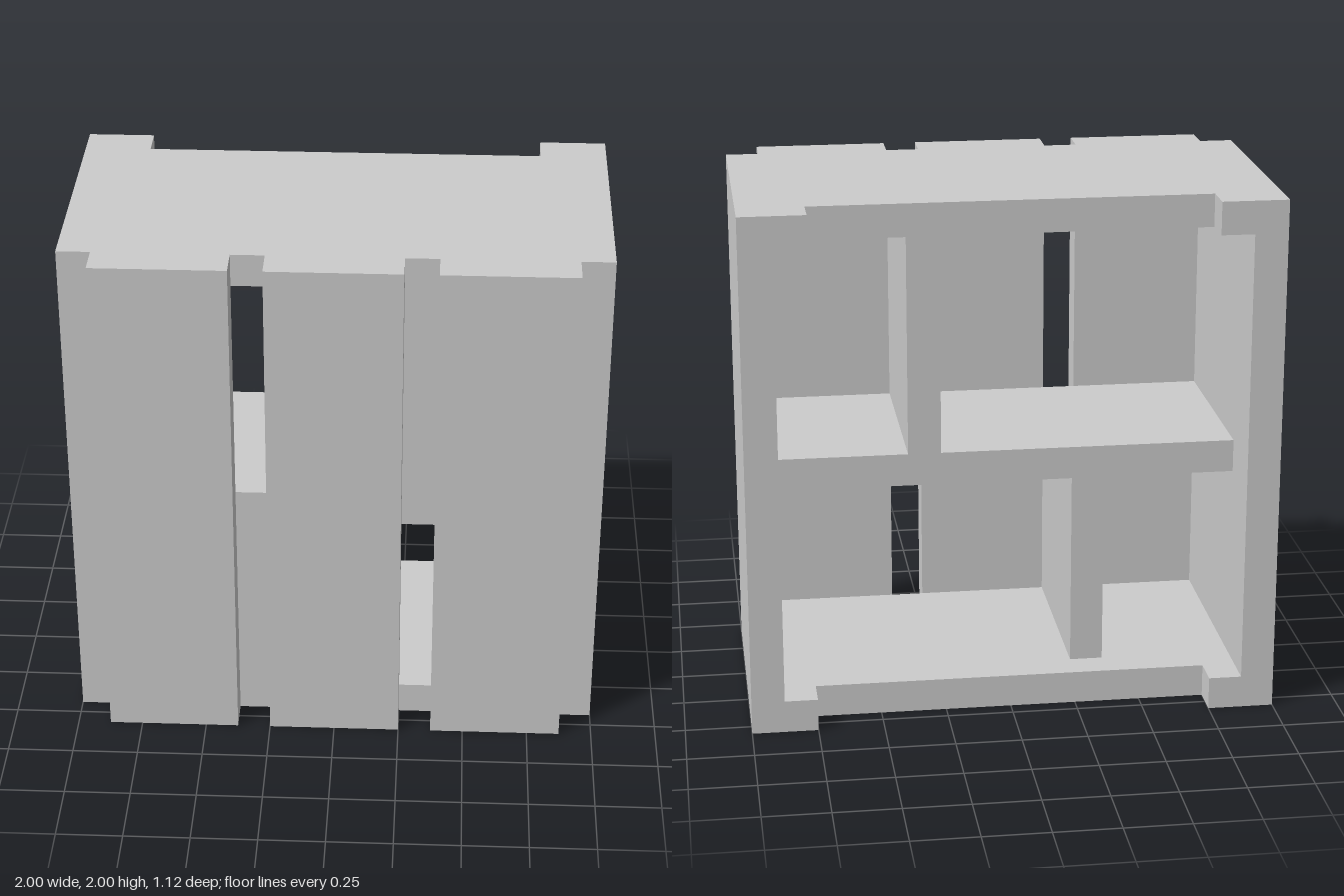
import * as THREE from 'three';

// Board thickness, overall half width, height, and the z of the main faces
const T = 0.125, W = 1, H = 2;
const FRONT = 0.5625, BODY = 0.4375, BACK = -0.5625, INSET = -0.3125;

export function createModel() {
  const group = new THREE.Group();
  const material = new THREE.MeshStandardMaterial({ color: 0xcccccc, flatShading: true });

  // Board given by its extents along each axis
  function board(name, [x0, x1], [y0, y1], [z0, z1]) {
    const mesh = new THREE.Mesh(new THREE.BoxGeometry(x1 - x0, y1 - y0, z1 - z0), material);
    mesh.position.set((x0 + x1) / 2, (y0 + y1) / 2, (z0 + z1) / 2);
    mesh.name = name;
    group.add(mesh);
  }

  // Top and bottom plates, with small tabs in the back corners
  for (const [name, y] of [['bottom', 0], ['top', H - T]]) {
    board(name + 'Plate', [-W + T, W - T], [y, y + T], [-BODY, BODY]);
    board(name + 'RightTab', [-W + T, -W + 2 * T], [y, y + T], [BACK, -BODY]);
    board(name + 'LeftTab', [W - 2 * T, W - T], [y, y + T], [BACK, -BODY]);
  }

  // Side walls
  board('rightWall', [-W, -W + T], [0, H], [BACK, BODY]);
  board('leftWall', [W - T, W], [0, H], [BACK, BODY]);

  // Three front panels separated by slots
  for (const [name, x] of [['right', -0.625], ['middle', 0], ['left', 0.625]]) {
    board(name + 'FrontPanel', [x - 0.25, x + 0.25], [0, H], [BODY, FRONT]);
  }

  // Shelf with staggered dividers, each closing half of one slot
  board('shelf', [-W + T, W - T], [1 - T, 1], [INSET, BODY]);
  board('upperDivider', [0.25, 0.375], [1, H - T], [INSET, BODY]);
  board('lowerDivider', [-0.375, -0.25], [T, 1 - T], [INSET, BODY]);

  return group;
}
